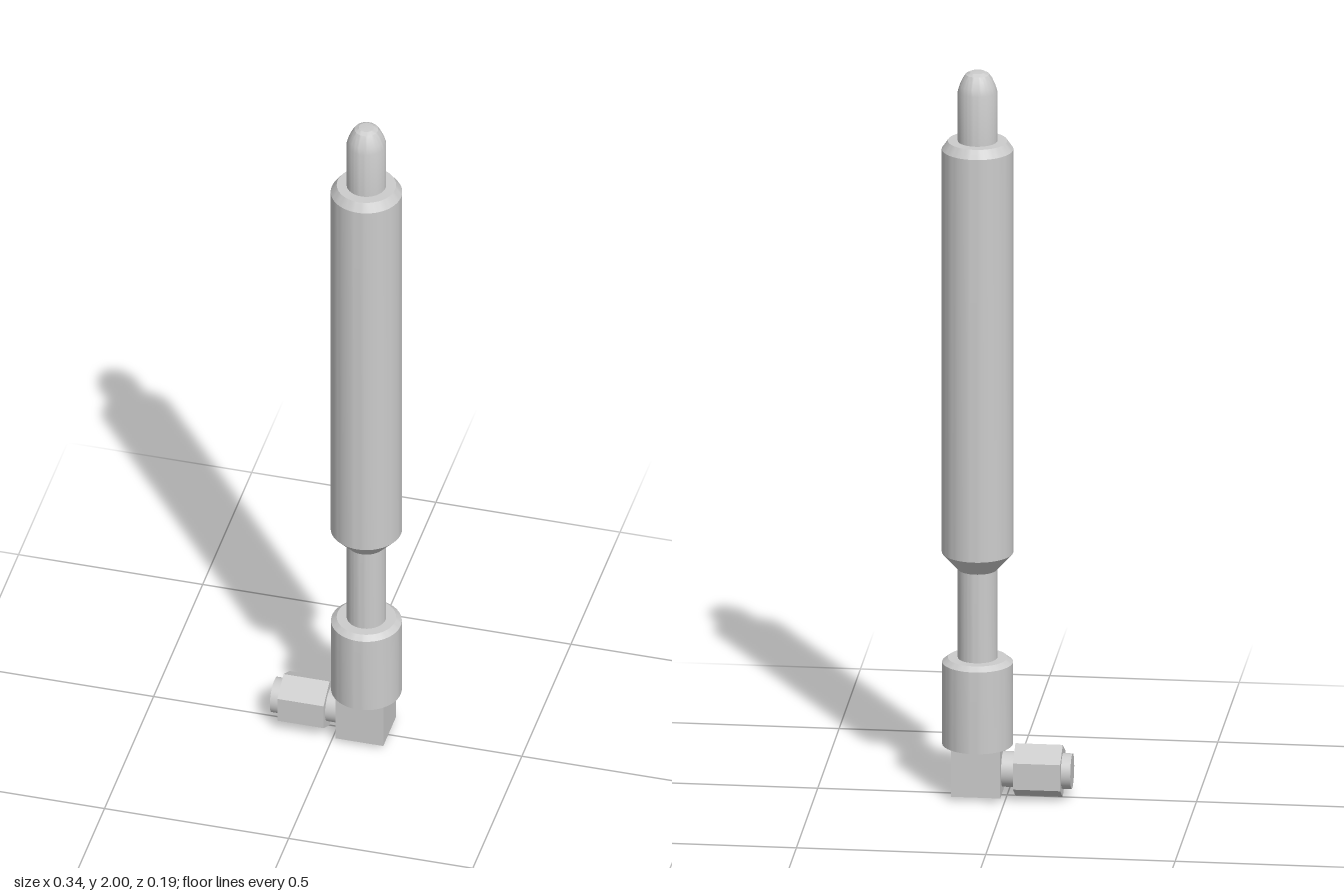
import * as THREE from 'three';
import { toCreasedNormals } from 'three/addons/utils/BufferGeometryUtils.js';

const AXIS_X = 0.078; // upright axis of the stacked parts
const PORT_Y = 0.074; // height of the sideways connector

export function createModel() {
  const group = new THREE.Group();
  const material = new THREE.MeshStandardMaterial({ color: 0xcccccc });

  const add = (name, geometry, x, y) => {
    const mesh = new THREE.Mesh(geometry, material);
    mesh.name = name;
    mesh.position.set(x, y, 0);
    group.add(mesh);
    return mesh;
  };

  // Turned part from [radius, height] pairs, with crisp machined edges
  const turned = (name, profile) => {
    const points = profile.map(([r, y]) => new THREE.Vector2(r, y));
    add(name, toCreasedNormals(new THREE.LatheGeometry(points, 64), 0.4), AXIS_X, 0);
  };

  // Prism or cylinder lying along x, between x0 and x1
  const sideways = (name, radius, x0, x1, sides) => {
    const geometry = new THREE.CylinderGeometry(radius, radius, x1 - x0, sides);
    geometry.rotateZ(Math.PI / 2);
    return add(name, sides > 6 ? geometry : toCreasedNormals(geometry, 0.4), (x0 + x1) / 2, PORT_Y);
  };

  // Upright stack
  turned('lowerCollar', [[0, 0.142], [0.093, 0.142], [0.093, 0.368], [0.078, 0.38], [0, 0.38]]);
  turned('neckRod', [[0.052, 0.37], [0.052, 0.64]]);
  turned('mainBody', [
    [0, 0.625], [0.052, 0.625], [0.094, 0.672], [0.094, 1.785], [0.078, 1.808], [0, 1.808],
  ]);
  turned('tip', [
    [0.052, 1.8], [0.052, 1.945], [0.047, 1.962], [0.039, 1.98], [0.031, 1.992],
    [0.02, 1.998], [0, 2],
  ]);

  // Right-angle elbow block
  add('elbowBlock', new THREE.BoxGeometry(0.13, 0.13, 0.13), 0.076, 0.078);

  // Sideways connector: a stub running through a hexagonal nut, corners up and down
  sideways('connectorStub', 0.047, -0.172, 0.02, 48);
  const nut = sideways('hexNut', 0.072, -0.147, -0.022, 6);
  nut.geometry.computeBoundingBox();
  if (nut.geometry.boundingBox.max.y < 0.07) nut.rotation.x = Math.PI / 6;

  return group;
}
